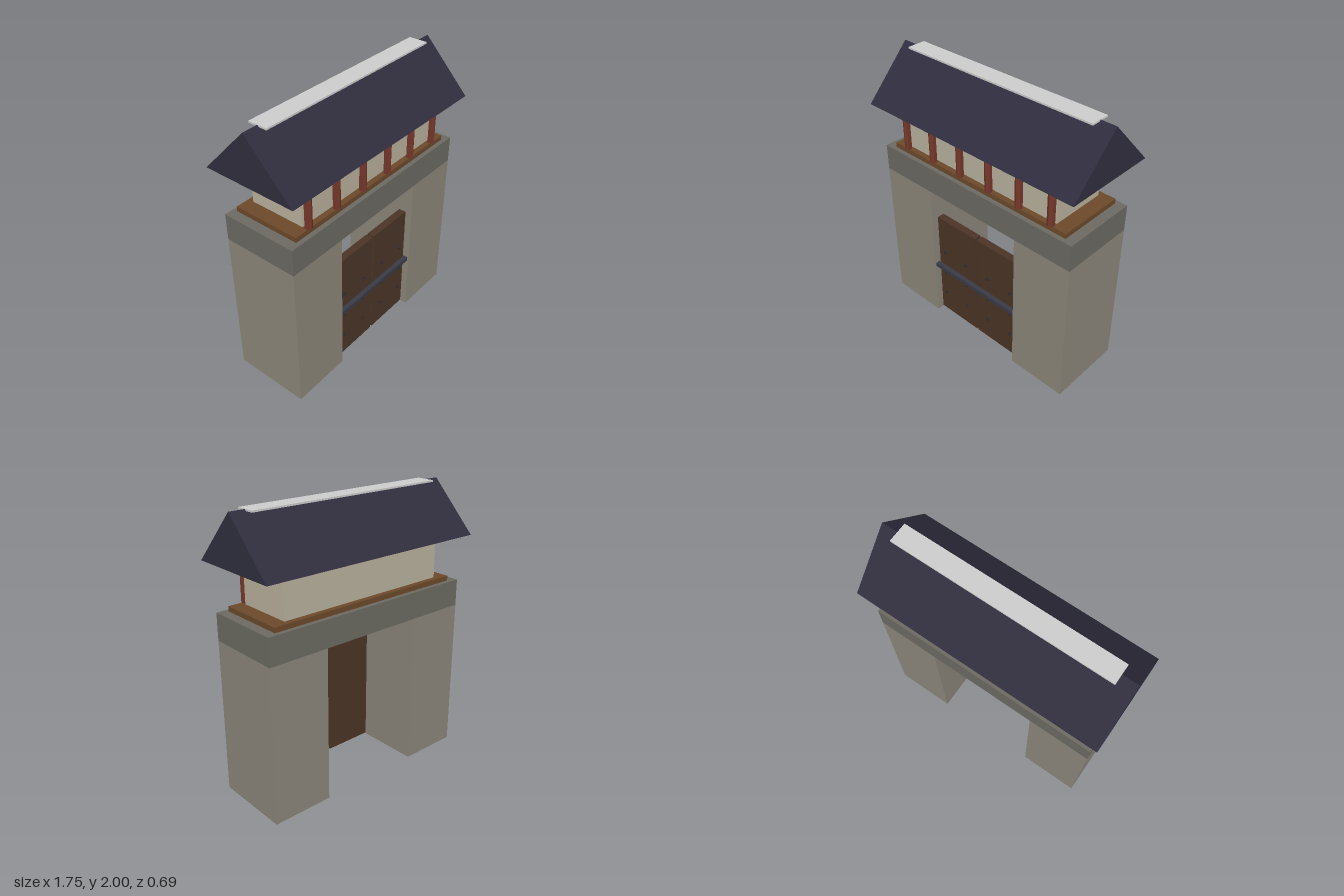
import * as THREE from 'three';

const material = (color) => new THREE.MeshStandardMaterial({ color, flatShading: true });

const stone = material(0x8a8579);
const darkStone = material(0x6b6961);
const plaster = material(0xb8b09c);
const deckWood = material(0x6b482a);
const postWood = material(0x74362a);
const doorWood = material(0x4a3426);
const tile = material(0x302e3e);
const iron = material(0x3a3a46);
const studIron = material(0x2a2a30);
const grey = material(0xcccccc);

function add(parent, name, geometry, mat, x = 0, y = 0, z = 0) {
  const mesh = new THREE.Mesh(geometry, mat);
  mesh.name = name;
  mesh.position.set(x, y, z);
  parent.add(mesh);
  return mesh;
}

// Box given by its minimum and maximum on each axis
function addBox(parent, name, mat, [x0, x1], [y0, y1], [z0, z1]) {
  return add(parent, name, new THREE.BoxGeometry(x1 - x0, y1 - y0, z1 - z0), mat,
    (x0 + x1) / 2, (y0 + y1) / 2, (z0 + z1) / 2);
}

export function createModel() {
  const gate = new THREE.Group();
  gate.name = 'gatehouse';

  // Stone base: two piers and the lintel across them
  addBox(gate, 'leftPier', stone, [0.39, 0.835], [0, 1.115], [-0.28, 0.28]);
  addBox(gate, 'rightPier', stone, [-0.835, -0.39], [0, 1.115], [-0.28, 0.28]);
  addBox(gate, 'lintel', darkStone, [-0.835, 0.835], [1.115, 1.308], [-0.28, 0.28]);

  // Double door with rows of studs
  for (const side of [1, -1]) {
    const door = new THREE.Group();
    door.name = side > 0 ? 'leftDoor' : 'rightDoor';
    gate.add(door);
    const xs = [0.008 * side, 0.381 * side].sort((a, b) => a - b);
    addBox(door, 'doorPanel', doorWood, xs, [0.015, 0.878], [0.18, 0.235]);
    for (const x of [0.107, 0.322]) {
      for (const y of [0.195, 0.39, 0.585]) {
        add(door, 'doorStud', new THREE.SphereGeometry(0.012, 8, 6), studIron, side * x, y, 0.237);
      }
    }
  }
  addBox(gate, 'doorBar', iron, [-0.39, 0.39], [0.433, 0.465], [0.237, 0.27]);

  // Upper storey: deck, room and front row of hexagonal posts
  addBox(gate, 'deck', deckWood, [-0.765, 0.765], [1.308, 1.343], [-0.247, 0.247]);
  addBox(gate, 'room', plaster, [-0.663, 0.663], [1.343, 1.645], [-0.206, 0.206]);
  for (let i = 0; i < 6; i++) {
    add(gate, 'post', new THREE.CylinderGeometry(0.026, 0.026, 0.302, 6), postWood,
      -0.642 + i * 0.2568, 1.494, 0.237);
  }

  // Gabled roof: a solid triangular prism along x
  const gable = new THREE.Shape([
    new THREE.Vector2(-0.345, 1.643),
    new THREE.Vector2(0.345, 1.643),
    new THREE.Vector2(0, 1.999),
  ]);
  const roof = new THREE.ExtrudeGeometry(gable, { depth: 1.75, bevelEnabled: false });
  roof.translate(0, 0, -0.875).rotateY(Math.PI / 2);
  add(gate, 'roof', roof, tile);
  addBox(gate, 'ridgeCap', grey, [-0.763, 0.763], [1.988, 2], [-0.069, 0.069]);

  return gate;
}
